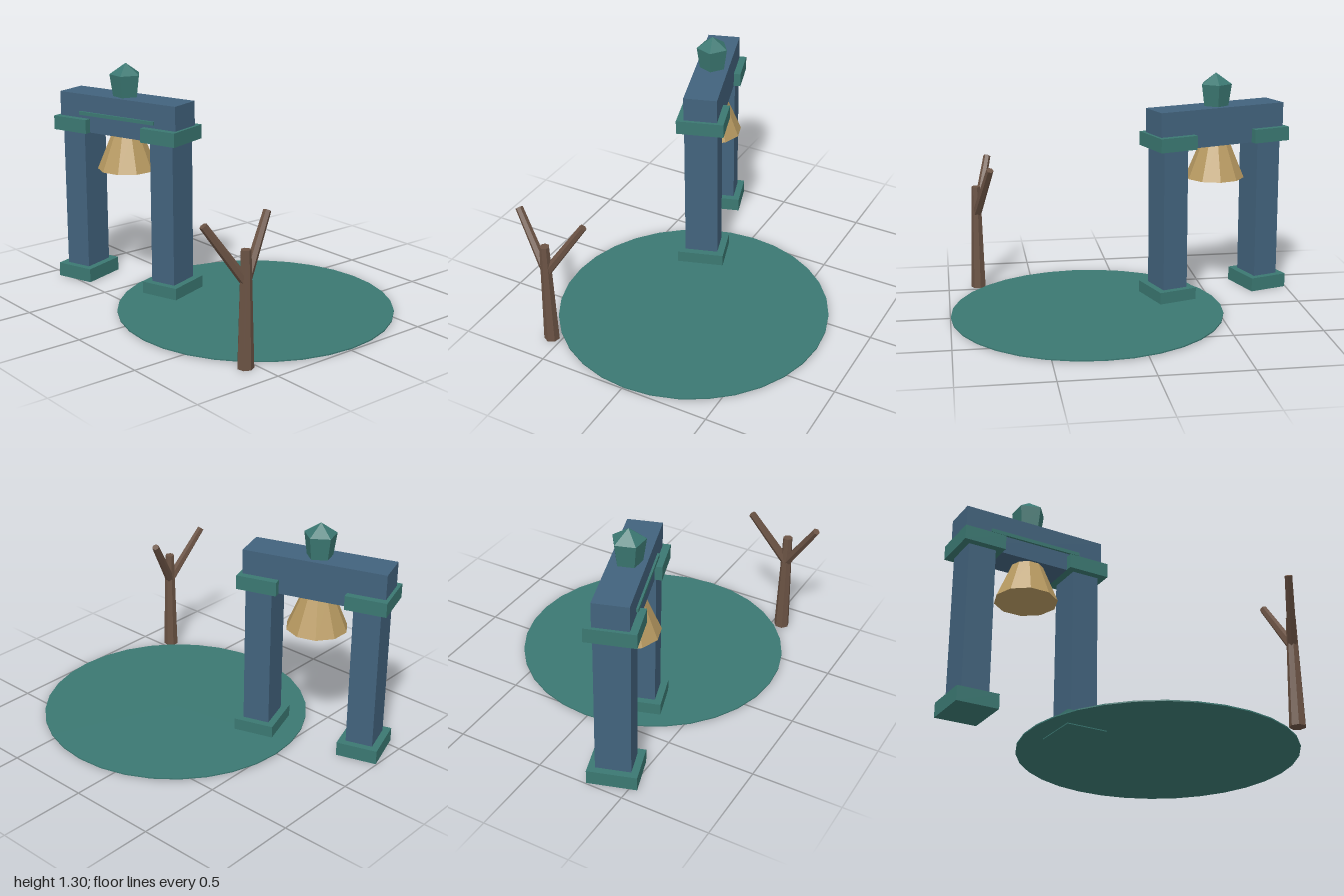
import * as THREE from 'three';

const mat = (color) => new THREE.MeshStandardMaterial({ color, flatShading: true });

export function createModel() {
  const model = new THREE.Group();
  const blue = mat(0x42637d), teal = mat(0x3b7872), gold = mat(0xb99b62), brown = mat(0x6b5344);

  function add(parent, name, geometry, material, x, y, z) {
    const mesh = new THREE.Mesh(geometry, material);
    mesh.name = name;
    mesh.position.set(x, y, z);
    parent.add(mesh);
    return mesh;
  }
  const box = (w, h, d) => new THREE.BoxGeometry(w, h, d);
  const drum = (top, bottom, h, n) => new THREE.CylinderGeometry(top, bottom, h, n);

  // Round ground slab
  add(model, 'groundDisc', drum(0.766, 0.766, 0.007, 32), teal, 0.013, 0.0085, 0.232);

  // Bell gate, turned 18 degrees
  const gate = new THREE.Group();
  gate.name = 'bellGate';
  gate.position.set(-0.283, 0, -0.553);
  gate.rotation.y = Math.PI / 10;
  model.add(gate);
  for (const side of [1, -1]) {
    const z = side * 0.306;
    add(gate, 'pillarBase', box(0.27, 0.08, 0.23), teal, 0, 0.04, z);
    add(gate, 'pillar', box(0.192, 0.82, 0.152), blue, 0, 0.488, z);
    add(gate, 'pillarCap', box(0.27, 0.08, 0.23), teal, 0, 0.936, z);
  }
  add(gate, 'beam', box(0.19, 0.219, 0.804), blue, 0, 1.0055, 0);
  add(gate, 'beamStrip', box(0.02, 0.02, 0.52), teal, -0.097, 1.005, 0);
  add(gate, 'bell', drum(0.087, 0.171, 0.202, 10), gold, 0, 0.796, 0);

  // Five-sided finial with a pointed top
  add(gate, 'finialBody', drum(0.092, 0.074, 0.125, 5), teal, 0, 1.1775, 0);
  add(gate, 'finialPoint', new THREE.ConeGeometry(0.092, 0.064, 5), teal, 0, 1.272, 0);

  // Bare forked tree
  const tree = new THREE.Group();
  tree.name = 'bareTree';
  tree.position.set(-0.558, 0, 0.822);
  model.add(tree);
  add(tree, 'trunk', drum(0.027, 0.044, 0.617, 7), brown, 0, 0.3085, 0);
  const up = new THREE.Vector3(0, 1, 0);
  for (const side of [1, -1]) {
    const start = new THREE.Vector3(0, 0.45, 0);
    const tip = new THREE.Vector3(side * 0.202, 0.757, -0.077);
    const dir = tip.clone().sub(start);
    const mid = start.clone().add(tip).multiplyScalar(0.5);
    const branch = add(tree, 'branch', drum(0.021, 0.027, dir.length(), 6), brown, mid.x, mid.y, mid.z);
    branch.quaternion.setFromUnitVectors(up, dir.normalize());
  }
  return model;
}
